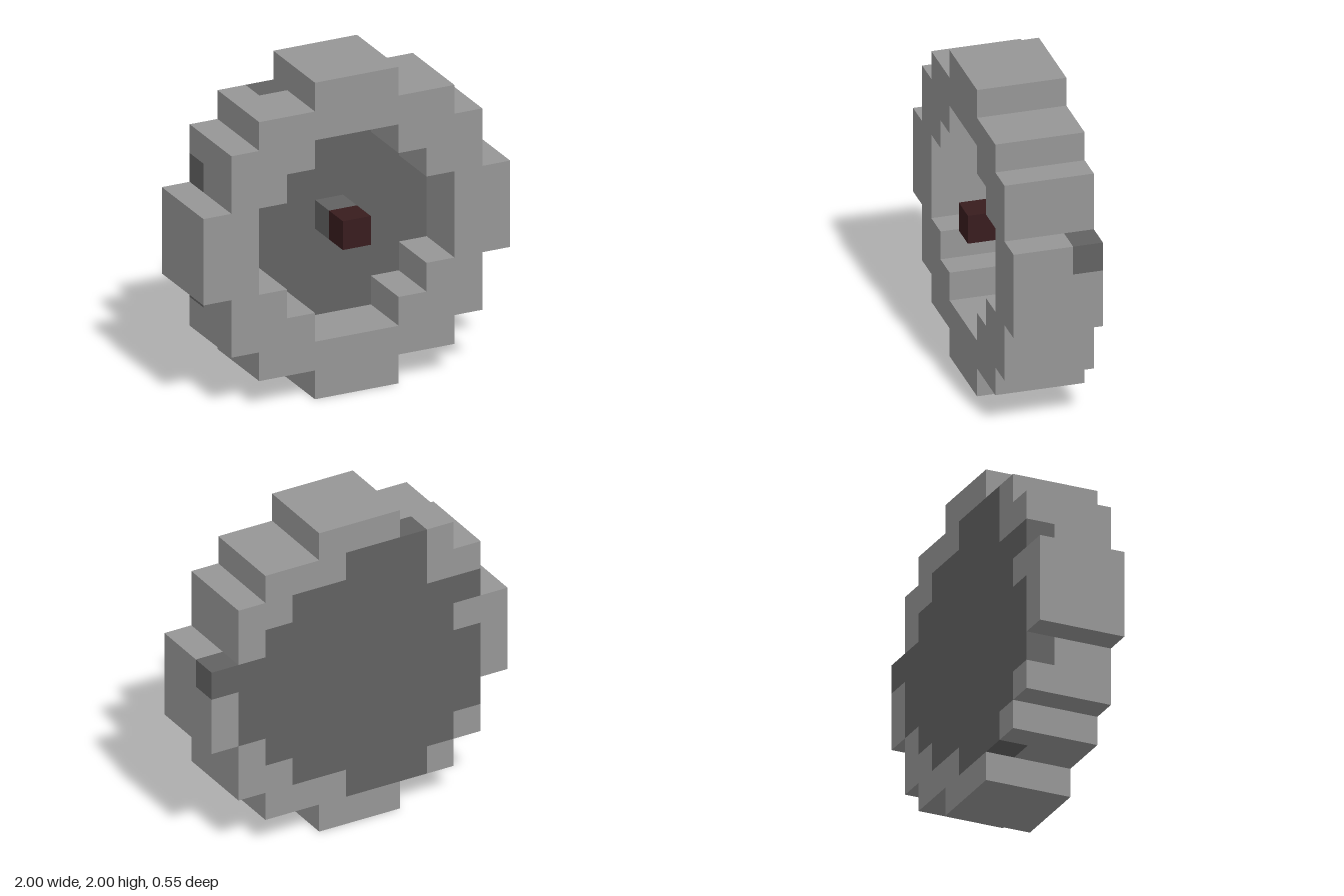
import * as THREE from 'three';

// The wheel is an 11 x 11 grid of blocks, three blocks deep
const U = 2 / 11;

const tread = new THREE.MeshStandardMaterial({ color: 0x969696 });
tread.name = 'light grey';
const disc = new THREE.MeshStandardMaterial({ color: 0x626262 });
disc.name = 'dark grey';
const cap = new THREE.MeshStandardMaterial({ color: 0x381c1e });
cap.name = 'dark red';

// Stepped clockwise outline from rows of [first, last] columns, counted from the model's left (+x)
function outline(startRow, rows) {
  const leftSide = [], rightSide = [];
  rows.forEach(([first, last], i) => {
    const top = 2 - (startRow + i) * U, bottom = top - U;
    const xl = (5.5 - first) * U, xr = (4.5 - last) * U;
    leftSide.push([xl, top], [xl, bottom]);
    rightSide.push([xr, top], [xr, bottom]);
  });
  const loop = [...leftSide, ...rightSide.reverse()].map(p => new THREE.Vector2(...p));
  // Drop points repeated where neighbouring rows share an edge
  return loop.filter((p, i) => p.distanceTo(loop[(i + 1) % loop.length]) > 1e-6);
}

function slab(name, shape, material, z, depth) {
  const geometry = new THREE.ExtrudeGeometry(shape, { depth, bevelEnabled: false });
  geometry.translate(0, 0, z);
  const mesh = new THREE.Mesh(geometry, material);
  mesh.name = name;
  return mesh;
}

function block(name, material, z) {
  const mesh = new THREE.Mesh(new THREE.BoxGeometry(U, U, U), material);
  mesh.position.set(0, 1, z);
  mesh.name = name;
  return mesh;
}

export function createModel() {
  const wheel = new THREE.Group();
  wheel.name = 'wheel';

  // Rim: front two layers with a stepped recess, its loop reversed so the walls face inward
  const rim = new THREE.Shape(outline(0, [
    [4, 6], [2, 8], [1, 9], [1, 9], [0, 10], [0, 10], [0, 10], [1, 9], [1, 9], [2, 8], [4, 6],
  ]));
  rim.holes.push(new THREE.Path(outline(2, [
    [4, 6], [3, 7], [2, 8], [2, 8], [2, 8], [3, 7], [4, 6],
  ]).reverse()));
  wheel.add(slab('rim', rim, tread, -U / 2, 2 * U));

  // Back layer: irregular dark disc reaching the edge in places
  const back = new THREE.Shape(outline(1, [
    [5, 7], [3, 7], [2, 9], [0, 8], [1, 9], [1, 9], [2, 9], [3, 8], [5, 7],
  ]));
  wheel.add(slab('backDisc', back, disc, -1.5 * U, U));

  // Back layer: light patches around the disc
  const patches = [
    [0, [[4, 6], [2, 4], [1, 2], [1, 1]]],
    [1, [[8, 8], [8, 9]]],
    [4, [[9, 10], [10, 10], [10, 10]]],
    [5, [[0, 0], [0, 0]]],
    [7, [[1, 1], [1, 2], [2, 4], [4, 6]]],
    [8, [[9, 9]]],
    [9, [[8, 8]]],
  ];
  for (const [row, rows] of patches) {
    wheel.add(slab('backRimPatch', new THREE.Shape(outline(row, rows)), tread, -1.5 * U, U));
  }

  // Hub standing in the recess
  wheel.add(block('axle', disc, 0), block('hubCap', cap, U));
  return wheel;
}
